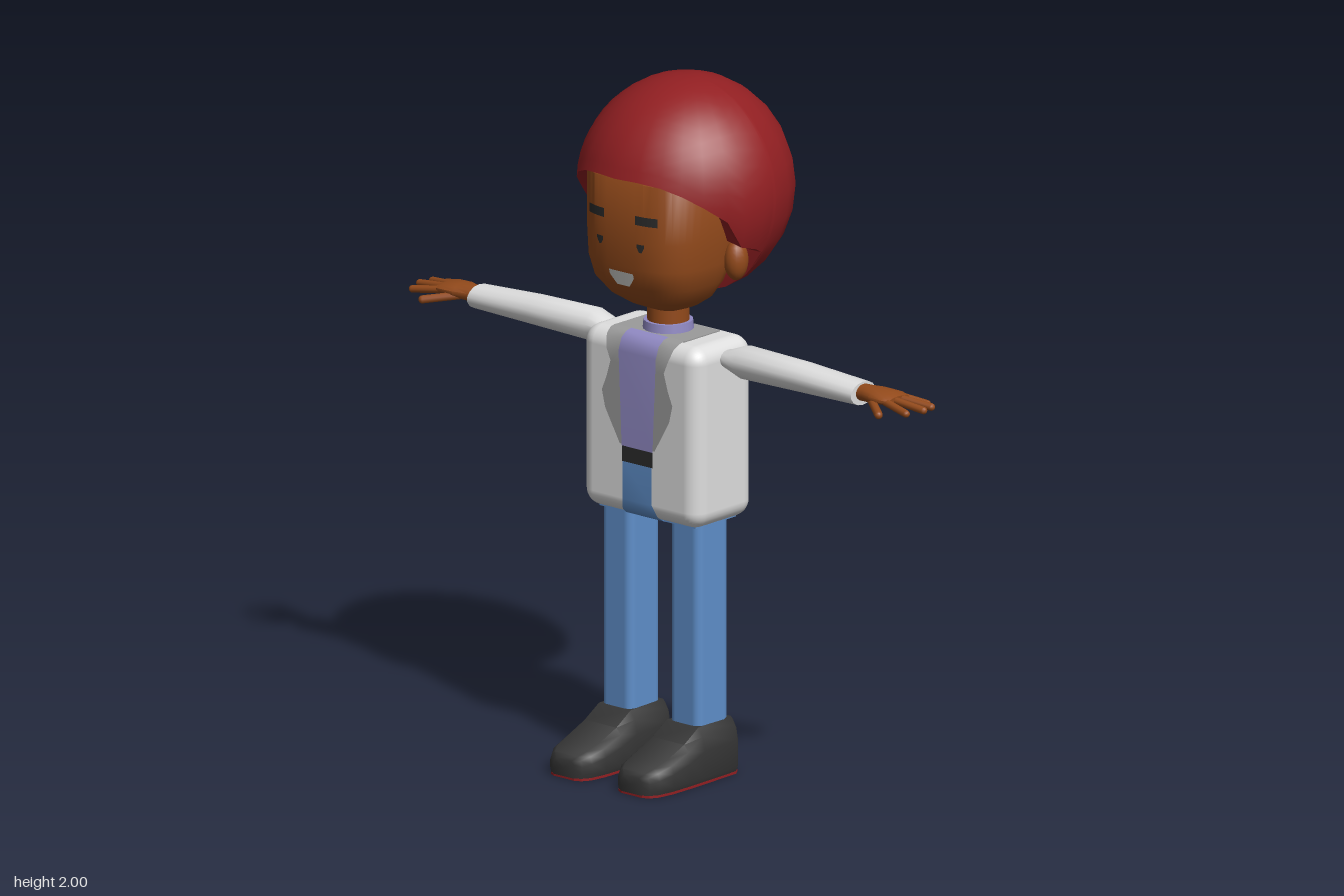
import * as THREE from 'three';
import { toCreasedNormals } from 'three/addons/utils/BufferGeometryUtils.js';
import { RoundedBoxGeometry } from 'three/addons/geometries/RoundedBoxGeometry.js';

const material = (name, color, extra = {}) => {
  const m = new THREE.MeshStandardMaterial({ color, ...extra });
  m.name = name;
  return m;
};

// Skin through closed rings (each counter-clockwise about the direction of travel), capped at both ends.
function loft(rings, crease = 0.8) {
  const n = rings[0].length, pos = rings.flat(2), index = [];
  for (let i = 0; i < rings.length - 1; i++) {
    for (let j = 0; j < n; j++) {
      const k = (j + 1) % n, a = i * n + j, b = i * n + k;
      index.push(a, b, b + n, a, b + n, a + n);
    }
  }
  [0, rings.length - 1].forEach((r) => {
    const c = pos.length / 3;
    for (let d = 0; d < 3; d++) pos.push(rings[r].reduce((s, p) => s + p[d], 0) / n);
    for (let j = 0; j < n; j++) {
      const a = r * n + j, b = r * n + (j + 1) % n;
      if (r) index.push(a, b, c); else index.push(b, a, c);
    }
  });
  const g = new THREE.BufferGeometry();
  g.setAttribute('position', new THREE.Float32BufferAttribute(pos, 3));
  g.setIndex(index);
  return toCreasedNormals(g, crease);
}

// Head sections: height, half width, front z, back z
const HEAD = [
  [1.345, 0.06, 0.1, 0], [1.36, 0.1, 0.135, -0.02], [1.39, 0.145, 0.18, -0.03], [1.44, 0.18, 0.222, -0.05],
  [1.5, 0.195, 0.238, -0.08], [1.58, 0.2, 0.24, -0.1], [1.75, 0.2, 0.24, -0.12], [1.85, 0.12, 0.14, -0.08],
];
const HEAD_Z = 0.05;

// Depth of the face at x, y
function faceZ(x, y) {
  const i = Math.max(1, HEAD.findIndex((r) => r[0] >= y)), a = HEAD[i - 1], b = HEAD[i];
  const t = (y - a[0]) / (b[0] - a[0]);
  const w = a[1] + (b[1] - a[1]) * t, front = a[2] + (b[2] - a[2]) * t;
  return HEAD_Z + (front - HEAD_Z) * Math.cbrt(1 - Math.abs(x / w) ** 3);
}

// Depth of the jacket front at height y, following its rounded top and bottom edges
function chestZ(y) {
  const d = Math.max(0, Math.abs(y - 1.01) - 0.215);
  return 0.115 + Math.sqrt(Math.max(0, 0.054 ** 2 - d * d));
}

export function createModel() {
  const model = new THREE.Group();
  model.name = 'character';
  const skin = material('skin brown', 0x934a1b);
  const hairRed = material('dark red', 0x921f22);
  const white = material('jacket white', 0xdedede);
  const lapelGrey = material('lapel grey', 0x9b9b9b, { side: THREE.DoubleSide });
  const purple = material('shirt purple', 0x918ac4, { side: THREE.DoubleSide });
  const blue = material('jeans blue', 0x5f8fca, { side: THREE.DoubleSide });
  const black = material('shoe black', 0x363636);
  const dark = material('charcoal', 0x2b2b2b, { side: THREE.DoubleSide });
  const teeth = material('smile white', 0xd4d4d0, { side: THREE.DoubleSide });

  const add = (name, geometry, mat, x = 0, y = 0, z = 0) => {
    const mesh = new THREE.Mesh(geometry, mat);
    mesh.name = name;
    mesh.position.set(x, y, z);
    model.add(mesh);
    return mesh;
  };

  // Head, rounded-square in plan
  const power = (v) => Math.sign(v) * Math.abs(v) ** (2 / 3);
  add('head', loft(HEAD.map(([y, w, front, back]) => Array.from({ length: 48 }, (_, i) => {
    const a = i / 48 * Math.PI * 2, c = power(Math.cos(a));
    return [w * power(Math.sin(a)), y, HEAD_Z + c * (c > 0 ? front - HEAD_Z : HEAD_Z - back)];
  }))), skin);

  // Hair: egg-shaped cap cut along the hairline, given as [azimuth from front, polar angle]
  const line = [
    [0, 1.34], [0.25, 1.34], [0.48, 1.37], [0.68, 1.44], [0.88, 1.55], [1.1, 1.7], [1.28, 1.98], [1.48, 2.04],
    [1.59, 2.1], [1.61, 2.4], [1.63, 2.7], [1.65, 2.95], [1.9, 3.0], [2.2, 3.02], [2.5, 3.02], [2.8, 3.02], [Math.PI, 3.02],
  ];
  const hairline = [...line, ...line.slice(1, -1).reverse().map(([a, p]) => [Math.PI * 2 - a, p])];
  const hairPoint = (a, phi, s = 1) => {
    const r = Math.sin(phi), c = Math.cos(a), h = Math.cos(phi);
    return [0.31 * r * Math.sin(a) * s, 1.69 + h * (h > 0 ? 0.31 : 0.32), -0.05 + r * c * (c > 0 ? 0.322 : 0.285) * s];
  };
  const hairRings = [hairline.map(([a, p]) => hairPoint(a, p, 0.65))];
  for (let k = 12; k >= 0; k--) hairRings.push(hairline.map(([a, p]) => hairPoint(a, 0.12 + (p - 0.12) * k / 12)));
  add('hair', loft(hairRings), hairRed);

  // Face details hugging the head
  const decal = (name, mat, cx, cy, w, h, taper = 1) => {
    const g = new THREE.PlaneGeometry(w, h, 8, 3), p = g.attributes.position;
    for (let i = 0; i < p.count; i++) {
      const v = p.getY(i) / h + 0.5;
      const x = cx + p.getX(i) * (taper + (1 - taper) * Math.min(1, v * 1.6)), y = cy + p.getY(i);
      p.setXYZ(i, x, y, faceZ(x, y) + 0.004);
    }
    g.computeVertexNormals();
    add(name, g, mat);
  };
  decal('smile', teeth, 0, 1.463, 0.09, 0.043, 0.5);

  // Neck and collar
  add('neck', new THREE.CylinderGeometry(0.06, 0.06, 0.14, 20), skin, 0, 1.32, 0.037);
  add('collar', new THREE.CylinderGeometry(0.07, 0.074, 0.04, 20), purple, 0, 1.283, 0.037);

  // Jacket body
  add('jacket', new RoundedBoxGeometry(0.44, 0.53, 0.25, 4, 0.05), white, 0, 1.01, 0.04);

  // Thin panels on the jacket front, rows of [y, x from, x to]
  const panel = (name, mat, rows, s = 1) => {
    const pos = [], index = [];
    rows.forEach(([y, x0, x1], i) => {
      pos.push(s * x0, y, chestZ(y), s * x1, y, chestZ(y));
      const a = i * 2;
      if (i && s > 0) index.push(a - 2, a, a + 1, a - 2, a + 1, a - 1);
      else if (i) index.push(a - 2, a + 1, a, a - 2, a - 1, a + 1);
    });
    const g = new THREE.BufferGeometry();
    g.setAttribute('position', new THREE.Float32BufferAttribute(pos, 3));
    g.setIndex(index);
    g.computeVertexNormals();
    add(name, g, mat);
  };
  panel('shirtFront', purple, [[1.279, -0.07, 0.07], [1.275, -0.07, 0.07], [1.26, -0.07, 0.07], [1.225, -0.07, 0.07], [0.95, -0.058, 0.058]]);
  panel('belt', dark, [[0.952, -0.057, 0.057], [0.905, -0.057, 0.057]]);
  panel('jeansFront', blue, [[0.905, -0.055, 0.055], [0.795, -0.055, 0.055], [0.76, -0.065, 0.065], [0.745, -0.07, 0.07], [0.741, -0.07, 0.07]]);
  add('backLapel', new THREE.BoxGeometry(0.26, 0.004, 0.15), lapelGrey, 0, 1.276, 0.04);
  add('jeansSeat', new THREE.BoxGeometry(0.36, 0.005, 0.17), blue, 0, 0.744, 0.04);

  // Shoe outline: z, half width, height
  const shoe = [
    [-0.04, 0.066, 0.15], [-0.02, 0.08, 0.165], [0.12, 0.084, 0.162], [0.18, 0.085, 0.125],
    [0.25, 0.084, 0.096], [0.3, 0.076, 0.08], [0.325, 0.06, 0.068], [0.335, 0.04, 0.055],
  ];
  const shoeGeometry = loft(shoe.map(([z, w, h]) => [
    [-0.94, 0.006], [0.94, 0.006], [1, 0.02], [1, h * 0.6], [0.9, h * 0.85], [0.7, h],
    [-0.7, h], [-0.9, h * 0.85], [-1, h * 0.6], [-1, 0.02],
  ].map(([x, y]) => [x * w, y, z])));
  const outline = [...shoe.map(([z, w]) => [w * 0.96, -z]), ...shoe.map(([z, w]) => [-w * 0.96, -z]).reverse()];
  const soleGeometry = new THREE.ExtrudeGeometry(
    new THREE.Shape(outline.map(([x, y]) => new THREE.Vector2(x, y))), { depth: 0.007, bevelEnabled: false });
  soleGeometry.rotateX(-Math.PI / 2);

  // Limbs and paired parts
  const up = new THREE.Vector3(0, 1, 0);
  for (const s of [1, -1]) {
    const side = s > 0 ? 'left' : 'right';
    // Ring across x: [x, centre y, centre z, half height, half depth]
    const ring = ([x, cy, cz, ry, rz]) => Array.from({ length: 14 }, (_, i) => {
      const t = s * i / 14 * Math.PI * 2;
      return [s * x, cy + ry * Math.cos(t), cz + rz * Math.sin(t)];
    });

    decal(side + 'Eyebrow', dark, s * 0.093, 1.646, 0.07, 0.026);
    decal(side + 'Eye', dark, s * 0.075, 1.565, 0.026, 0.024, 0.3);
    add(side + 'Ear', new THREE.SphereGeometry(1, 16, 12).scale(0.034, 0.058, 0.036), skin, s * 0.212, 1.505, -0.01);
    panel(side + 'Lapel', lapelGrey, [
      [1.279, 0.07, 0.13], [1.275, 0.07, 0.13], [1.26, 0.07, 0.125], [1.225, 0.07, 0.115], [1.19, 0.068, 0.1],
      [1.14, 0.066, 0.115], [1.1, 0.064, 0.132], [1.05, 0.062, 0.12], [0.955, 0.058, 0.065],
    ], s);

    add(side + 'Sleeve', loft([
      [0.2, 1.228, 0.025, 0.02, 0.035], [0.23, 1.228, 0.025, 0.028, 0.045], [0.28, 1.228, 0.025, 0.048, 0.053],
      [0.5, 1.228, 0.025, 0.043, 0.053], [0.72, 1.224, 0.025, 0.034, 0.052],
    ].map(ring)), white);
    add(side + 'Palm', loft([
      [0.69, 1.226, 0.025, 0.024, 0.03], [0.74, 1.228, 0.025, 0.024, 0.032], [0.78, 1.23, 0.025, 0.023, 0.048],
      [0.83, 1.231, 0.024, 0.017, 0.053], [0.85, 1.23, 0.022, 0.01, 0.045],
    ].map(ring)), skin);

    // Fingers and thumb: knuckle, tip, radius
    const digits = [
      [[0.82, 1.228, -0.018], [0.9, 1.214, -0.043], 0.01], [[0.83, 1.23, 0.006], [0.935, 1.216, -0.02], 0.011],
      [[0.83, 1.23, 0.032], [0.944, 1.217, 0.023], 0.011], [[0.83, 1.228, 0.058], [0.925, 1.215, 0.075], 0.011],
      [[0.765, 1.222, 0.045], [0.855, 1.206, 0.112], 0.012],
    ];
    digits.forEach(([from, to, r], i) => {
      const a = new THREE.Vector3(s * from[0], from[1], from[2]), b = new THREE.Vector3(s * to[0], to[1], to[2]);
      const mid = a.clone().add(b).multiplyScalar(0.5), dir = b.clone().sub(a);
      const digit = add(side + (i < 4 ? 'Finger' + (i + 1) : 'Thumb'),
        new THREE.CapsuleGeometry(r, dir.length(), 4, 10), skin, mid.x, mid.y, mid.z);
      digit.quaternion.setFromUnitVectors(up, dir.normalize());
    });

    add(side + 'Leg', new RoundedBoxGeometry(0.114, 0.64, 0.132, 2, 0.025), blue, s * 0.128, 0.45, 0.051);
    add(side + 'Shoe', shoeGeometry, black, s * 0.127);
    add(side + 'Sole', soleGeometry, hairRed, s * 0.127);
  }
  return model;
}
